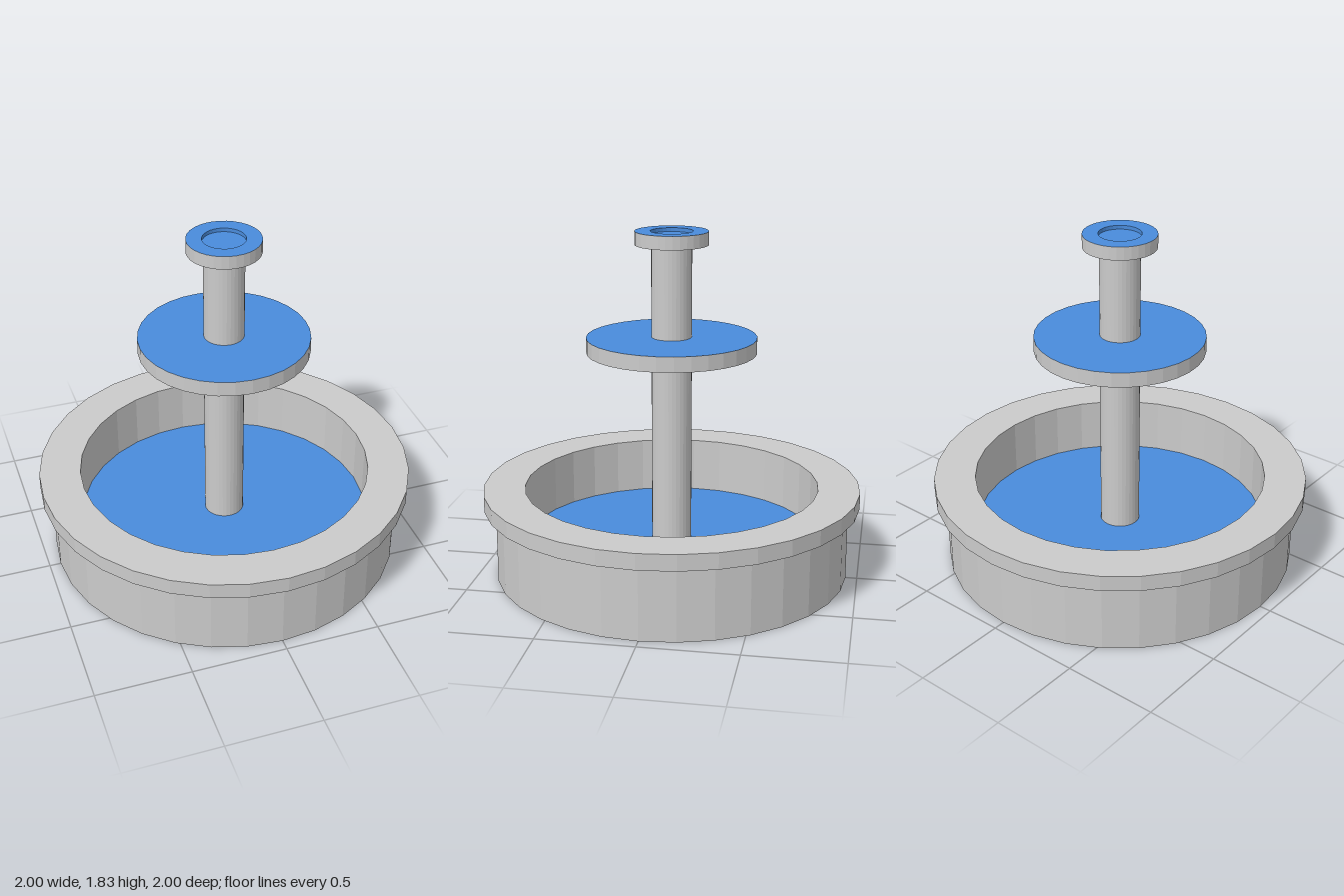
import * as THREE from 'three';

const SIDES = 32;

export function createModel() {
  const model = new THREE.Group();
  const stone = new THREE.MeshStandardMaterial({ color: 0xcccccc, flatShading: true });
  const water = new THREE.MeshStandardMaterial({ color: 0x4a8cdc, flatShading: true });

  // Turned part; outer profile runs from the bottom upward as [radius, height]
  const turned = (name, material, profile) => {
    const points = profile.map(([r, y]) => new THREE.Vector2(r, y));
    const mesh = new THREE.Mesh(new THREE.LatheGeometry(points, SIDES), material);
    mesh.name = name;
    model.add(mesh);
  };

  // Round basin with an overhanging rim and a straight inner wall
  turned('basin', stone, [
    [0, 0], [0.94, 0], [0.94, 0.39], [1, 0.39], [1, 0.475], [0.78, 0.475], [0.78, 0.175],
  ]);
  turned('basinWater', water, [[0.78, 0.175], [0, 0.175]]);

  // Central column
  turned('column', stone, [[0.105, 0.175], [0.105, 1.77]]);

  // Middle tier, a flat disc with water on top
  turned('middleTier', stone, [[0.105, 1.2], [0.445, 1.2], [0.445, 1.28]]);
  turned('middleWater', water, [[0.445, 1.28], [0.105, 1.28]]);

  // Top tier with a shallow recess in its water
  turned('topTier', stone, [[0.105, 1.76], [0.19, 1.76], [0.19, 1.83]]);
  turned('topWater', water, [[0.19, 1.83], [0.11, 1.83], [0.11, 1.81], [0, 1.81]]);

  return model;
}
